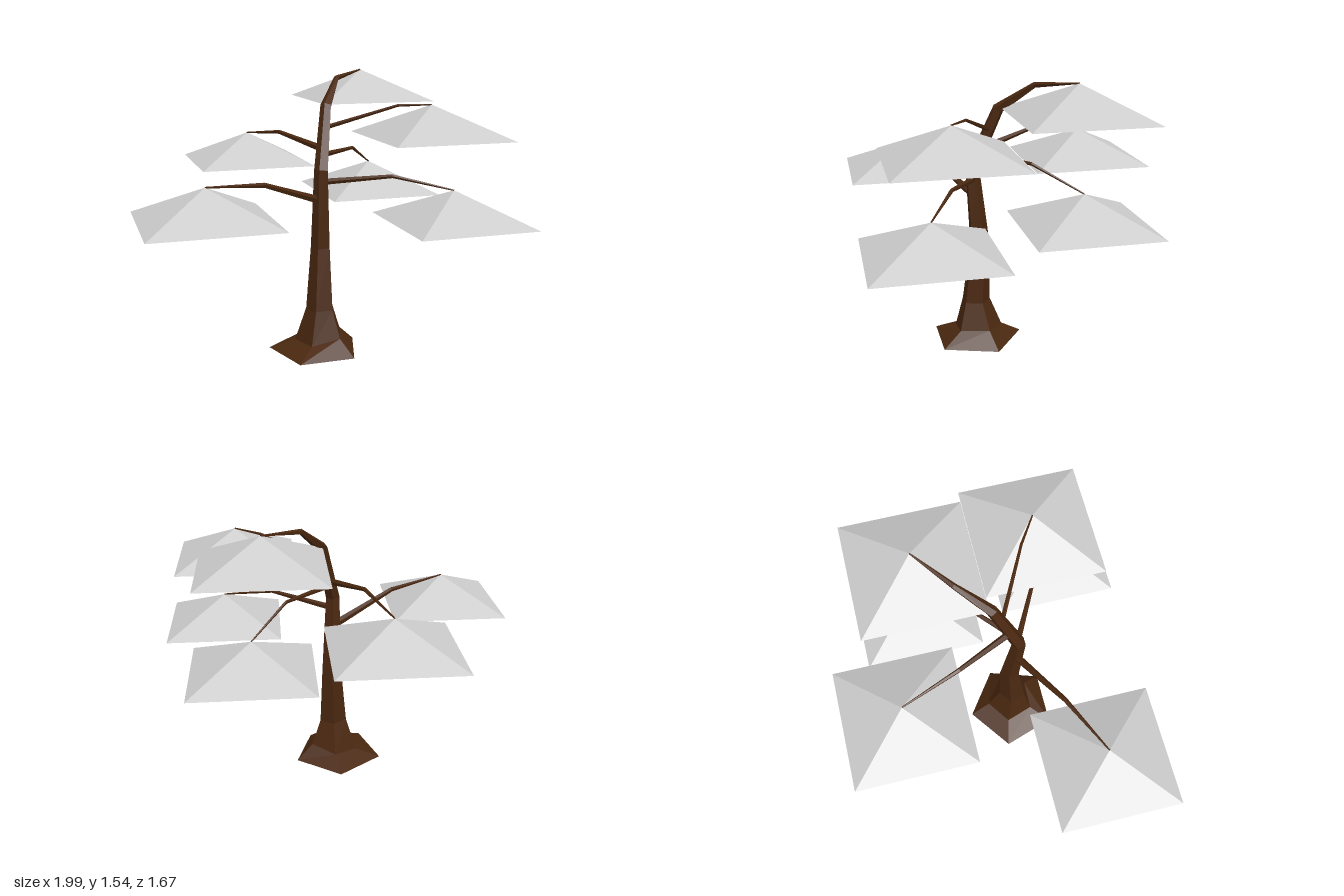
import * as THREE from 'three';

const bark = new THREE.MeshStandardMaterial({ color: 0x4a2810, flatShading: true });
bark.name = 'bark brown';
const leaf = new THREE.MeshStandardMaterial({ color: 0xcccccc, flatShading: true, side: THREE.DoubleSide });
leaf.name = 'canopy grey';

const SIDES = 5;
const UP = new THREE.Vector3(0, 1, 0);

// Lofts five-sided rings [x, y, z, radius, optional ring normal] into a capped limb
function limb(name, rings) {
  const centres = rings.map(([x, y, z]) => new THREE.Vector3(x, y, z));
  const loops = rings.map(([, , , r, normal], k) => {
    const before = centres[Math.max(k - 1, 0)];
    const after = centres[Math.min(k + 1, rings.length - 1)];
    const dir = normal ? new THREE.Vector3(...normal) : after.clone().sub(before);
    const turn = new THREE.Quaternion().setFromUnitVectors(UP, dir.normalize());
    return Array.from({ length: SIDES }, (_, i) => {
      const a = (i / SIDES) * Math.PI * 2;
      return new THREE.Vector3(Math.sin(a) * r, 0, -Math.cos(a) * r).applyQuaternion(turn).add(centres[k]);
    });
  });
  const pos = [];
  const tri = (...pts) => pts.forEach((p) => pos.push(p.x, p.y, p.z));
  const last = loops.length - 1;
  for (let i = 0; i < SIDES; i++) {
    const j = (i + 1) % SIDES;
    for (let k = 0; k < last; k++) {
      const lo = loops[k], hi = loops[k + 1];
      tri(lo[j], lo[i], hi[i]);
      tri(lo[j], hi[i], hi[j]);
    }
    tri(centres[0], loops[0][i], loops[0][j]);
    tri(centres[last], loops[last][j], loops[last][i]);
  }
  const geo = new THREE.BufferGeometry();
  geo.setAttribute('position', new THREE.Float32BufferAttribute(pos, 3));
  geo.computeVertexNormals();
  const mesh = new THREE.Mesh(geo, bark);
  mesh.name = name;
  return mesh;
}

export function createModel() {
  const tree = new THREE.Group();
  tree.name = 'tree';

  // Flared trunk that leans and bends over into the top branch
  const top = [0.42, 1.54, -0.3];
  tree.add(limb('trunk', [
    [0, 0, 0.16, 0.265, [0, 1, 0]],
    [0.025, 0.068, 0.155, 0.142, [-0.17, 1, 0]],
    [0.027, 0.24, 0.165, 0.082, [0, 1, 0]],
    [0.036, 0.59, 0.142, 0.058, [0, 1, 0]],
    [0.025, 1.03, 0.178, 0.041],
    [0.093, 1.365, 0.045, 0.032],
    [0.212, 1.505, -0.125, 0.016],
    [...top, 0.004],
  ]));

  // Side branches: start, elbow, tip, base radius
  const branches = [
    [[0.07, 1.25, 0.09], [0.42, 1.38, 0.28], [0.57, 1.39, 0.38], 0.013],
    [[0.045, 1.14, 0.13], [-0.115, 1.2, -0.18], [-0.23, 1.16, -0.51], 0.02],
    [[0.02, 0.86, 0.16], [-0.34, 1.0, 0.34], [-0.67, 1.035, 0.485], 0.023],
    [[0.035, 0.965, 0.17], [0.37, 1.01, 0.35], [0.66, 0.945, 0.5], 0.018],
    [[0.045, 1.11, 0.14], [0.3, 1.105, -0.09], [0.49, 0.98, -0.32], 0.016],
  ];
  for (const [start, elbow, tip, r] of branches) {
    tree.add(limb('branch', [[...start, r], [...elbow, r * 0.6], [...tip, 0.004]]));
  }

  // Open square pyramids hanging from every tip
  const height = 0.17;
  const canopyGeo = new THREE.ConeGeometry(0.331 * Math.SQRT2, height, 4, 1, true)
    .rotateY(Math.PI / 4)
    .translate(0, -height / 2, 0);
  for (const tip of [top, ...branches.map((b) => b[2])]) {
    const canopy = new THREE.Mesh(canopyGeo, leaf);
    canopy.name = 'canopy';
    canopy.position.set(...tip);
    tree.add(canopy);
  }
  return tree;
}
